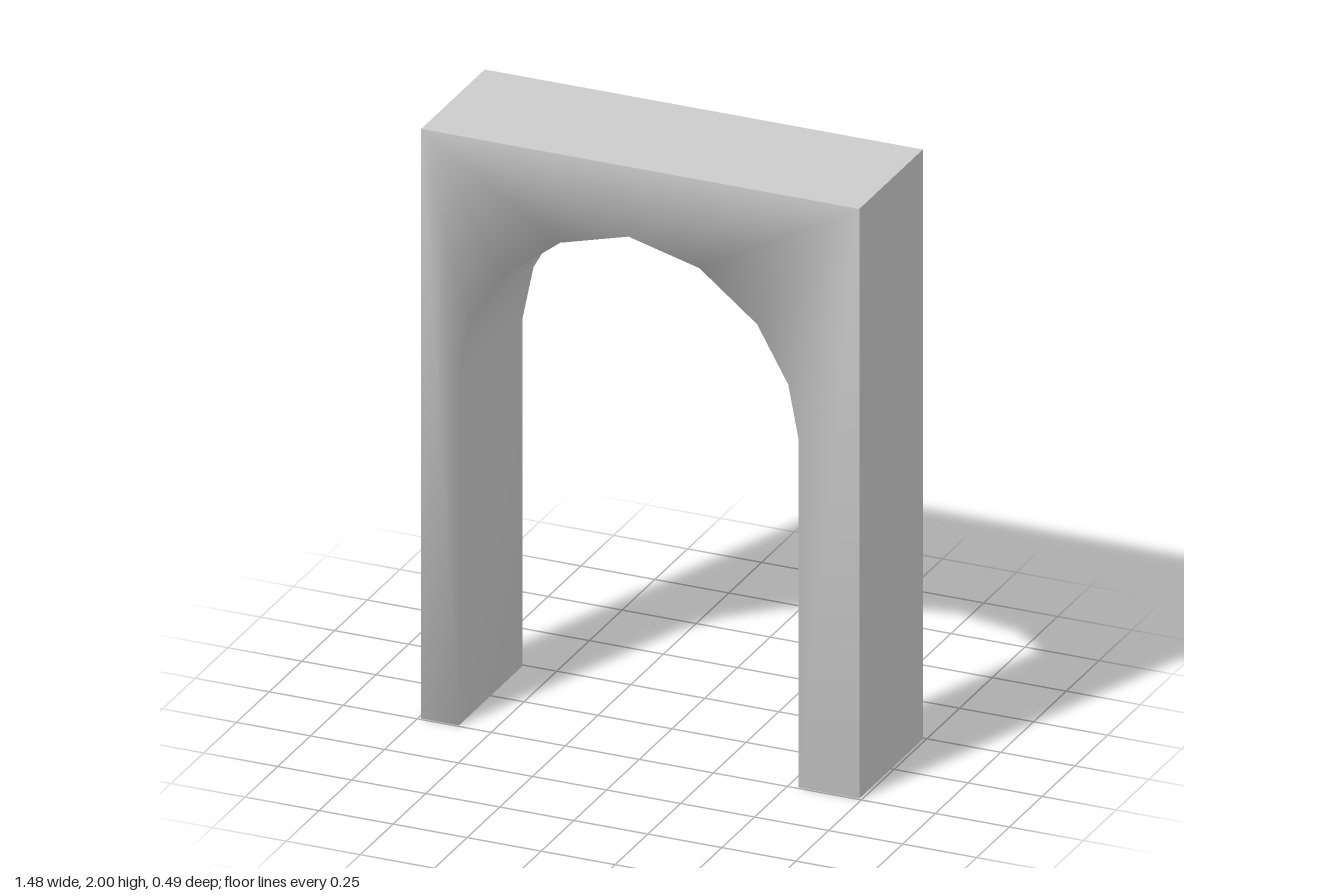
import * as THREE from 'three';

const HALF_W = 0.74, HEIGHT = 2, HALF_D = 0.243;

// Opening outline, from the foot of one pier over the arch to the other
const OPENING = [
  [-0.612, 0], [-0.612, 1.18], [-0.575, 1.36], [-0.47, 1.545], [-0.27, 1.70], [-0.04, 1.763],
  [0.20, 1.70], [0.395, 1.545], [0.50, 1.36], [0.535, 1.18], [0.535, 0],
];
const CORNERS = [[-HALF_W, 0], [-HALF_W, HEIGHT], [HALF_W, HEIGHT], [HALF_W, 0]];

export function createModel() {
  const group = new THREE.Group();
  group.name = 'archway';
  const material = new THREE.MeshStandardMaterial({ color: 0xcccccc });

  const outline = [...OPENING, ...CORNERS];
  const n = outline.length, last = OPENING.length - 1, crown = 5;
  const [BL, TL, TR, BR] = [0, 1, 2, 3].map((i) => last + 1 + i);

  // Front outline followed by the matching back outline
  const positions = [HALF_D, -HALF_D].flatMap((z) => outline.flatMap(([x, y]) => [x, y, z]));

  const makeGeometry = (index) => {
    const g = new THREE.BufferGeometry();
    g.setAttribute('position', new THREE.Float32BufferAttribute(positions, 3));
    g.setIndex(index);
    return g;
  };

  // Band of quads joining front to back along a path of outline points
  const band = (path) => path.slice(1).flatMap((q, i) => {
    const p = path[i];
    return [p, p + n, q + n, p, q + n, q];
  });

  const addMesh = (name, geometry) => {
    geometry.computeVertexNormals();
    const mesh = new THREE.Mesh(geometry, material);
    mesh.name = name;
    group.add(mesh);
  };

  // Front and back walls: each half of the arch fans out from its upper corner
  const walls = [];
  const wallTriangle = (a, b, c) => walls.push(a, b, c, a + n, c + n, b + n);
  wallTriangle(TL, BL, 0);
  for (let i = 0; i < last; i++) wallTriangle(i < crown ? TL : TR, i, i + 1);
  wallTriangle(TL, crown, TR);
  wallTriangle(TR, last, BR);

  // Walls, inner arch surface and feet share smooth normals
  const inner = band([BL, ...OPENING.keys(), BR]);
  addMesh('archWallsAndOpening', makeGeometry([...walls, ...inner]));

  // Flat outer sides and top
  addMesh('outerSidesAndTop', makeGeometry(band([BR, TR, TL, BL])).toNonIndexed());

  return group;
}
